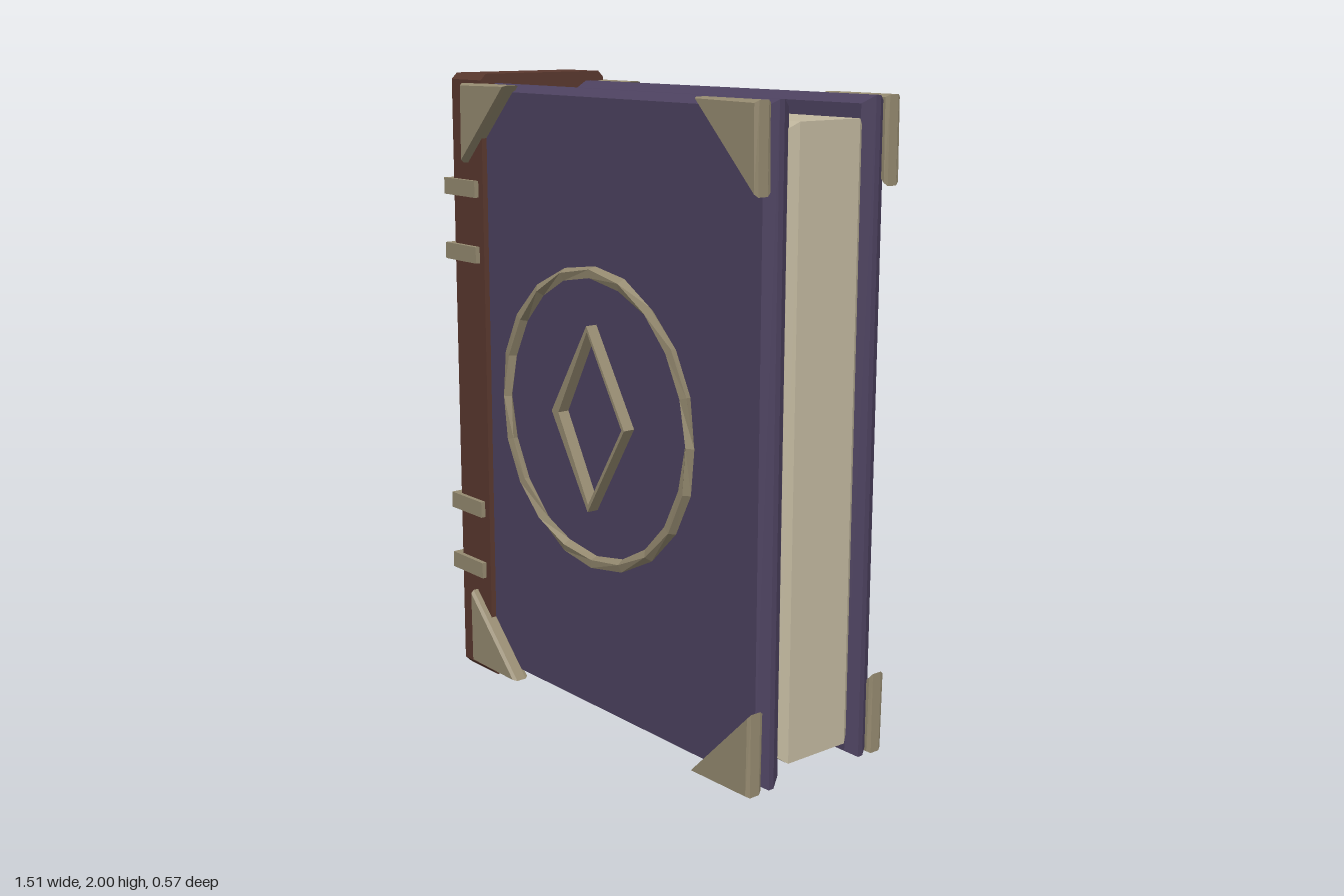
import * as THREE from 'three';

const material = (color) => new THREE.MeshStandardMaterial({ color, flatShading: true });

// Outline extruded from z0 to z1, chamfered by 'bevel' in depth and 'inset' in the outline
function prism(points, z0, z1, bevel = 0, inset = 0, hole = null) {
  const shape = new THREE.Shape(points.map(([x, y]) => new THREE.Vector2(x, y)));
  if (hole) shape.holes.push(new THREE.Path(hole.map(([x, y]) => new THREE.Vector2(x, y))));
  const geometry = new THREE.ExtrudeGeometry(shape, {
    depth: z1 - z0 - 2 * bevel,
    bevelEnabled: bevel > 0,
    bevelThickness: bevel,
    bevelSize: inset,
    bevelOffset: -inset,
    bevelSegments: 1,
  });
  return geometry.translate(0, 0, z0 + bevel);
}

const rect = (x0, x1, y0, y1) => [[x0, y0], [x1, y0], [x1, y1], [x0, y1]];

export function createModel() {
  const book = new THREE.Group();
  book.name = 'book';
  const cloth = material(0x4d4260);
  const leather = material(0x5a382e);
  const paper = material(0xc2b89f);
  const metal = material(0x958a70);

  const add = (name, geometry, mat) => {
    const mesh = new THREE.Mesh(geometry, mat);
    mesh.name = name;
    book.add(mesh);
    return mesh;
  };

  // Covers and page block
  add('frontCover', prism(rect(-0.64, 0.75, 0.04, 1.97), 0.12, 0.21, 0.036, 0.022), cloth);
  add('backCover', prism(rect(-0.64, 0.75, 0.04, 1.97), -0.24, -0.15, 0.036, 0.022), cloth);
  add('pages', prism(rect(-0.64, 0.75, 0.1, 1.91), -0.15, 0.125, 0.025, 0.018), paper);

  // Spine: chamfered z-y profile swept along x
  const c = 0.02, zf = 0.228, zb = -0.257;
  const profile = [
    [zb + c, 0], [zf - c, 0], [zf, c], [zf, 2 - c],
    [zf - c, 2], [zb + c, 2], [zb, 2 - c], [zb, c],
  ];
  add('spine', prism(profile, 0.555, 0.72).rotateY(-Math.PI / 2), leather);

  // Raised bands around the spine
  [0.367, 0.578, 1.427, 1.638].forEach((y, i) => {
    const band = add(`spineBand${i + 1}`, new THREE.BoxGeometry(0.175, 0.053, 0.515), metal);
    band.position.set(-0.668, y, -0.014);
  });

  // Triangular corner guards on both covers
  for (const [side, z0, z1] of [['front', 0.2, 0.258], ['back', -0.285, -0.228]]) {
    for (const [x, dx] of [[-0.635, 0.25], [0.75, -0.25]]) {
      for (const [y, dy] of [[0.037, 0.25], [1.97, -0.25]]) {
        const name = `${side}${dy > 0 ? 'Bottom' : 'Top'}${dx > 0 ? 'Right' : 'Left'}Corner`;
        add(name, prism([[x, y], [x + dx, y], [x, y + dy]], z0, z1, 0.012, 0.007), metal);
      }
    }
  }

  // Hand-forged ring: four-sided torus whose section twists along its length
  const R = 0.443;
  const ring = new THREE.TorusGeometry(R, 0.02, 4, 20);
  const p = ring.attributes.position;
  for (let i = 0; i < p.count; i++) {
    const u = Math.atan2(p.getY(i), p.getX(i));
    const r = Math.hypot(p.getX(i), p.getY(i)) - R;
    const z = p.getZ(i) * 0.8;
    const t = 0.6 * Math.sin(3 * u);
    const rr = R + r * Math.cos(t) - z * Math.sin(t);
    p.setXYZ(i, rr * Math.cos(u), rr * Math.sin(u), r * Math.sin(t) + z * Math.cos(t));
  }
  ring.computeVertexNormals();
  add('emblemRing', ring, metal).position.set(0.058, 1.005, 0.262);

  // Diamond frame, heavier on its left edges
  const outer = [[-0.122, 1.005], [0.055, 0.722], [0.232, 1.005], [0.055, 1.29]];
  const inner = [[-0.088, 1.005], [0.057, 0.745], [0.22, 1.005], [0.057, 1.272]];
  add('emblemDiamond', prism(outer, 0.245, 0.283, 0, 0, inner), metal);

  return book;
}
